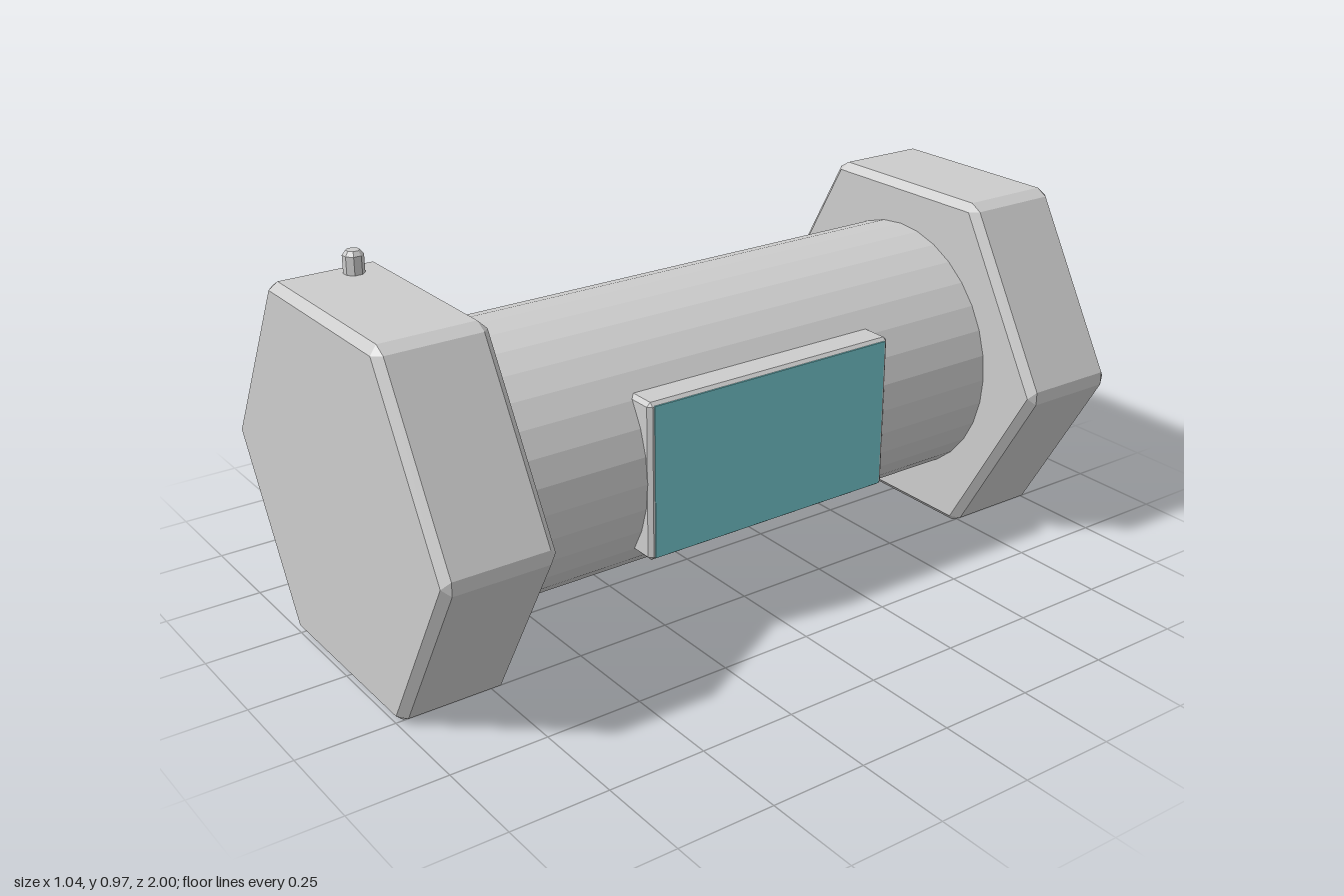
import * as THREE from 'three';
import { ConvexGeometry } from 'three/addons/geometries/ConvexGeometry.js';

const CENTRE_Y = 0.459;
const grey = new THREE.MeshStandardMaterial({ color: 0xcccccc, flatShading: true });
const teal = new THREE.MeshStandardMaterial({ color: 0x72c6cb });

function part(name, geometry, material, x, y, z) {
  const mesh = new THREE.Mesh(geometry, material);
  mesh.name = name;
  mesh.position.set(x, y, z);
  return mesh;
}

// Convex prism along z with every edge chamfered by w
function chamferedPrism(corners, depth, w) {
  const points = [];
  const n = corners.length;
  corners.forEach((c, i) => {
    const a = corners[(i + n - 1) % n].clone().sub(c).normalize();
    const b = corners[(i + 1) % n].clone().sub(c).normalize();
    const inset = c.clone().addScaledVector(a.clone().add(b), w / Math.abs(a.cross(b)));
    const cuts = [a, b].map((d) => c.clone().addScaledVector(d, w));
    for (const s of [-1, 1]) {
      points.push(new THREE.Vector3(inset.x, inset.y, s * depth / 2));
      for (const p of cuts) points.push(new THREE.Vector3(p.x, p.y, s * (depth / 2 - w)));
    }
  });
  return new ConvexGeometry(points);
}

export function createModel() {
  const model = new THREE.Group();

  // Hexagonal end weights, flat side down
  const radius = CENTRE_Y / Math.cos(Math.PI / 6);
  const hexagon = Array.from({ length: 6 }, (_, i) =>
    new THREE.Vector2(Math.cos(i * Math.PI / 3), Math.sin(i * Math.PI / 3)).multiplyScalar(radius));
  const weight = chamferedPrism(hexagon, 0.282, 0.02);
  model.add(part('frontWeight', weight, grey, 0, CENTRE_Y, 0.859));
  model.add(part('backWeight', weight, grey, 0, CENTRE_Y, -0.859));

  // Round body between the weights
  const body = new THREE.CylinderGeometry(0.346, 0.346, 1.5, 32).rotateX(Math.PI / 2);
  model.add(part('body', body, grey, 0, CENTRE_Y, 0));

  // Display housing set into the left side of the body
  const rect = [[-0.365, -0.203], [0.365, -0.203], [0.365, 0.203], [-0.365, 0.203]]
    .map(([x, y]) => new THREE.Vector2(x, y));
  const housing = chamferedPrism(rect, 0.095, 0.01).rotateY(Math.PI / 2);
  model.add(part('displayHousing', housing, grey, 0.3075, 0.461, 0));
  model.add(part('screen', new THREE.BoxGeometry(0.01, 0.39, 0.7), teal, 0.352, 0.461, 0));

  // Small chamfered pin on top of the front weight
  const profile = [[0, -0.03], [0.0255, -0.03], [0.0255, 0.045], [0.0165, 0.056], [0, 0.056]]
    .map(([x, y]) => new THREE.Vector2(x, y));
  const pin = new THREE.LatheGeometry(profile, 8, Math.PI / 8);
  model.add(part('pin', pin, grey, -0.198, 0.918, 0.81));

  return model;
}
